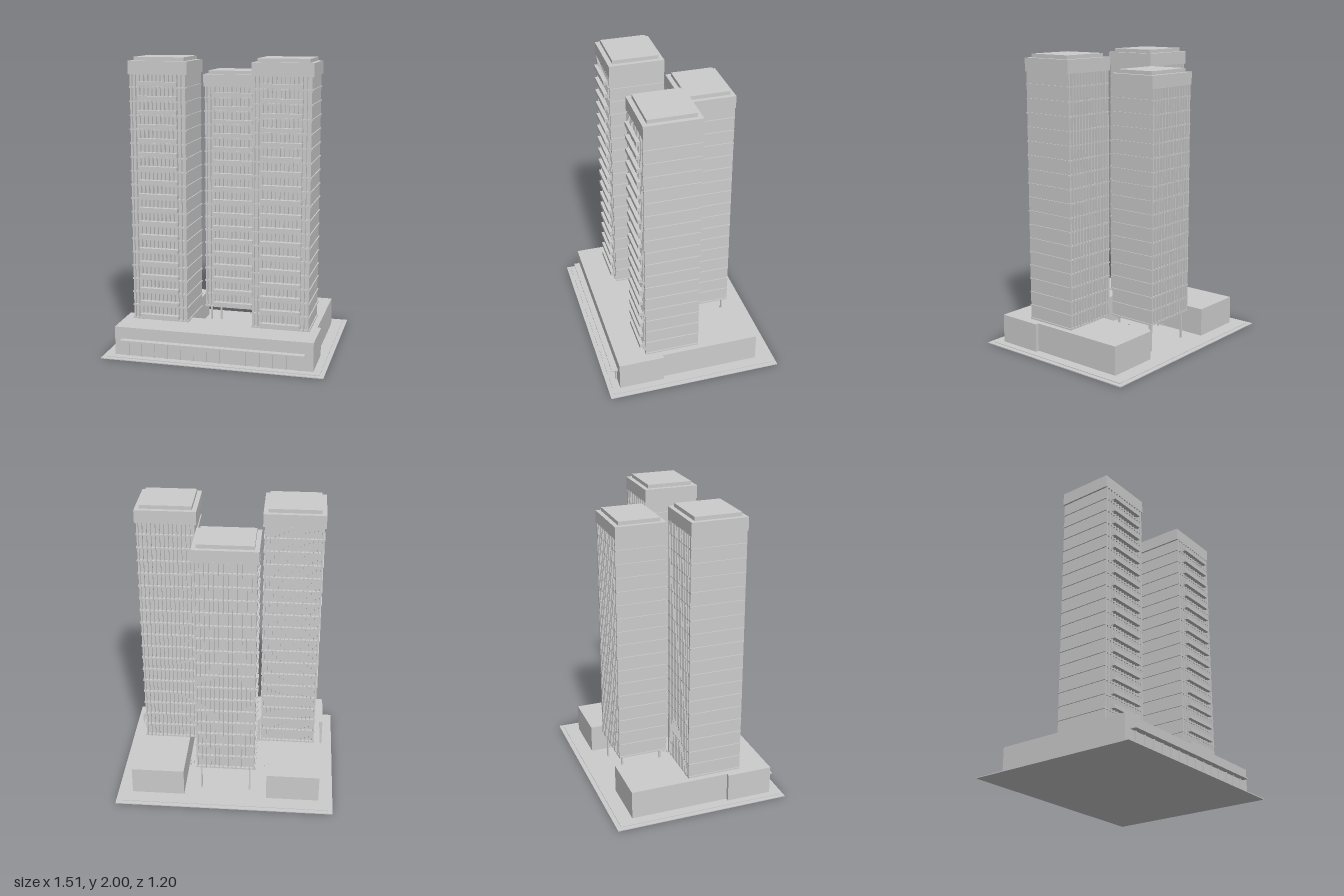
import * as THREE from 'three';

const concrete = new THREE.MeshStandardMaterial({ color: 0xcccccc });
concrete.name = 'concrete grey';

// Box given by its min and max corners
function box(parent, name, x0, x1, y0, y1, z0, z1) {
  const mesh = new THREE.Mesh(new THREE.BoxGeometry(x1 - x0, y1 - y0, z1 - z0), concrete);
  mesh.position.set((x0 + x1) / 2, (y0 + y1) / 2, (z0 + z1) / 2);
  mesh.name = name;
  parent.add(mesh);
  return mesh;
}

const DECK = 0.205, STOREY = 0.0937;

// Tower centred on its own axis; hx and hz are half sizes of the crown
function tower(name, x, z, hx, hz, floors, wallTop, crownTop) {
  const g = new THREE.Group();
  g.name = name;
  g.position.set(x, 0, z);
  const bx = hx - 0.012, recess = 0.02;

  // Glazed core behind the fins, and solid side walls
  box(g, 'core', -bx + 0.01, bx - 0.01, DECK, wallTop + 0.01, -hz + recess, hz - recess);
  for (const s of [-1, 1]) {
    const a = s * bx, b = s * (bx - 0.012);
    box(g, 'sideWall', Math.min(a, b), Math.max(a, b), DECK, wallTop + 0.01, -hz, hz);
  }

  // Vertical fins on front and back
  const count = 12, span = 2 * (bx - 0.02);
  for (const s of [-1, 1]) {
    for (let i = 0; i < count; i++) {
      const fx = -span / 2 + span * (i + 0.5) / count;
      const zi = s * (hz - recess - 0.002), zo = s * (hz + 0.003);
      box(g, 'fin', fx - 0.004, fx + 0.004, DECK, wallTop + 0.005, Math.min(zi, zo), Math.max(zi, zo));
    }
  }

  // Floor bands and front balconies
  const bal = hx * 0.67;
  for (let i = 0; i < floors; i++) {
    const y = DECK + i * STOREY;
    box(g, 'floorBand', -hx + 0.005, hx - 0.005, y, y + 0.01, -hz + 0.001, hz - 0.001);
    box(g, 'balcony', -bal, bal, y + 0.015, y + 0.043, hz - 0.012, hz + 0.027);
  }

  // Crown and roof slab
  box(g, 'crown', -hx, hx, wallTop, crownTop, -hz - 0.001, hz + 0.001);
  box(g, 'roofSlab', -hx + 0.031, hx - 0.031, crownTop, crownTop + 0.025, -hz + 0.03, hz - 0.03);
  return g;
}

export function createModel() {
  const model = new THREE.Group();
  model.name = 'towerComplex';

  // Ground slab with a raised plaza
  box(model, 'groundSlab', -0.755, 0.755, 0, 0.006, -0.6, 0.6);
  box(model, 'plaza', -0.725, 0.725, 0.006, 0.01, -0.57, 0.57);

  // Podium: front block and two rear wings
  box(model, 'podiumFront', -0.68, 0.677, 0.01, DECK, 0.207, 0.518);
  box(model, 'podiumWingRight', -0.656, -0.29, 0.01, DECK, -0.47, 0.207);
  box(model, 'podiumWingLeft', 0.287, 0.652, 0.01, DECK, -0.47, 0.207);

  // Entrance canopy and shopfront mullions
  box(model, 'canopy', -0.63, 0.625, 0.118, 0.125, 0.515, 0.56);
  for (let i = 0; i < 14; i++) {
    const x = -0.585 + i * 0.09;
    box(model, 'mullion', x - 0.005, x + 0.005, 0.01, 0.118, 0.515, 0.527);
  }

  // Three towers
  model.add(tower('towerRight', -0.421, 0.129, 0.203, 0.187, 18, 1.887, 1.975));
  model.add(tower('towerLeft', 0.416, 0.129, 0.203, 0.187, 18, 1.887, 1.975));
  model.add(tower('towerRear', -0.001, -0.237, 0.213, 0.173, 17, 1.785, 1.87));

  // Slim columns carrying the rear tower
  for (const x of [-0.17, 0.17]) for (const z of [-0.38, -0.1]) {
    box(model, 'column', x - 0.006, x + 0.006, 0.01, DECK, z - 0.006, z + 0.006);
  }

  // Groups of plaza seats
  for (const [cx, cz] of [[-0.098, 0.05], [0.092, 0.05], [-0.286, -0.108], [0.281, -0.108]]) {
    for (let k = 0; k < 4; k++) {
      const a = k * Math.PI / 2;
      const x = cx + 0.023 * Math.cos(a), z = cz + 0.023 * Math.sin(a);
      box(model, 'seat', x - 0.005, x + 0.005, 0.01, 0.025, z - 0.005, z + 0.005);
    }
  }
  return model;
}
